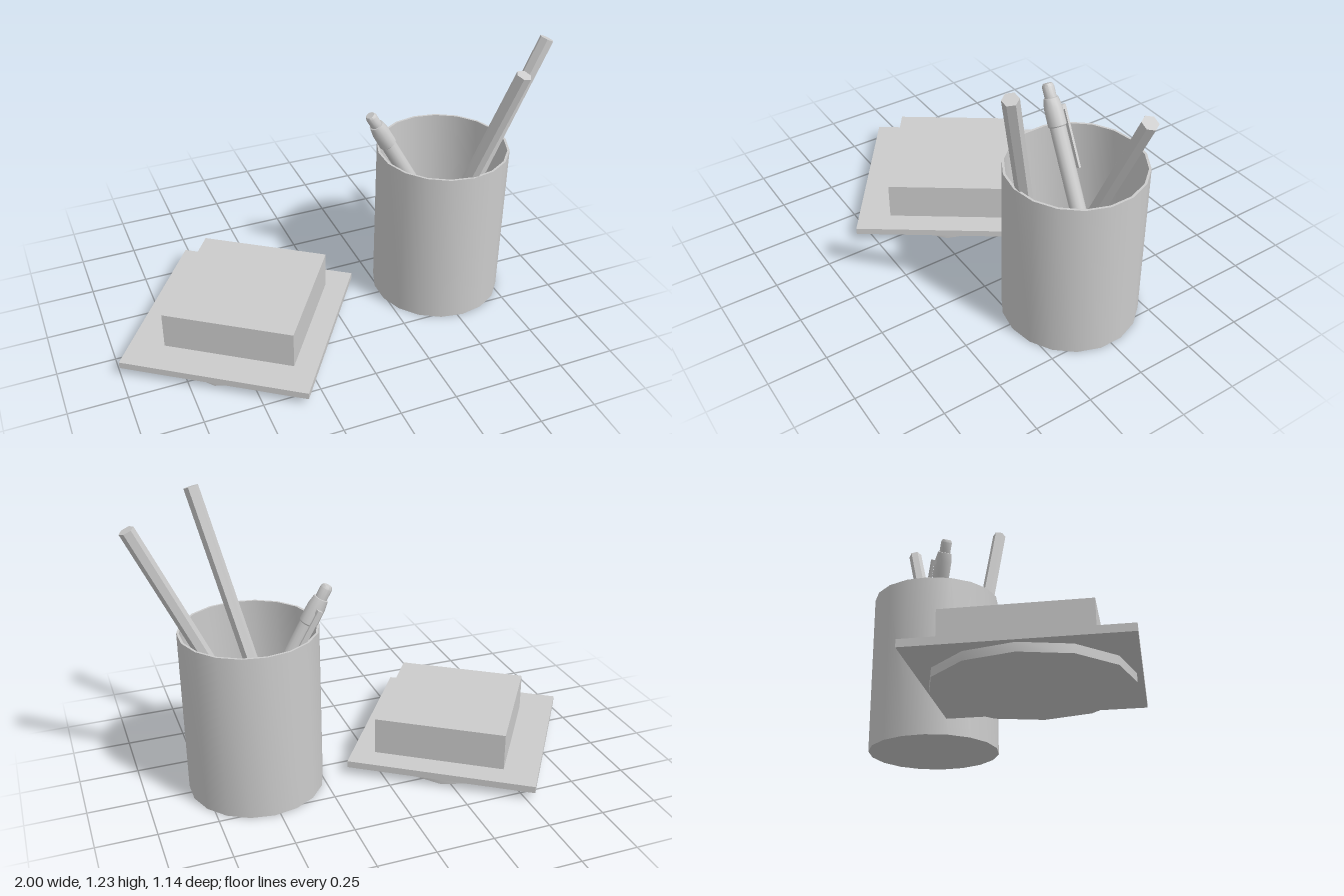
import * as THREE from 'three';
import { toCreasedNormals } from 'three/addons/utils/BufferGeometryUtils.js';

const material = new THREE.MeshStandardMaterial({ color: 0xcccccc, side: THREE.DoubleSide });
const UP = new THREE.Vector3(0, 1, 0);

function add(parent, name, geometry, x = 0, y = 0, z = 0) {
  const mesh = new THREE.Mesh(geometry, material);
  mesh.name = name;
  mesh.position.set(x, y, z);
  parent.add(mesh);
  return mesh;
}

// Lathe from [radius, height] pairs, with sharp edges kept
function turned(points, sides) {
  const profile = points.map(([r, y]) => new THREE.Vector2(r, y));
  return toCreasedNormals(new THREE.LatheGeometry(profile, sides), 0.6);
}

// Group whose local y axis runs from one point to another
function leaning(name, from, to) {
  const group = new THREE.Group();
  const start = new THREE.Vector3(...from);
  const axis = new THREE.Vector3(...to).sub(start);
  group.name = name;
  group.position.copy(start);
  group.userData.length = axis.length();
  group.quaternion.setFromUnitVectors(UP, axis.normalize());
  return group;
}

// Hexagonal pencil with its sharpened tip at the bottom
function pencil(name, from, to) {
  const group = leaning(name, from, to);
  const length = group.userData.length, r = 0.032, tip = 0.09;
  const hex = (top, bottom, h) =>
    toCreasedNormals(new THREE.CylinderGeometry(top, bottom, h, 6, 1, false, Math.PI / 6), 0.3);
  add(group, 'pencilShaft', hex(r, r, length - tip), 0, (length + tip) / 2, 0);
  add(group, 'pencilTip', hex(r, 0.004, tip), 0, tip / 2, 0);
  return group;
}

// Click pen: tapered barrel, collar, button and side clip
function pen(from, to) {
  const group = leaning('pen', from, to);
  const L = group.userData.length;
  add(group, 'penBarrel', turned([
    [0, 0], [0.008, 0.005], [0.018, 0.06], [0.027, 0.15], [0.034, 0.28], [0.034, L - 0.17],
  ], 12));
  add(group, 'penCollar', turned([
    [0.034, L - 0.18], [0.039, L - 0.175], [0.038, L - 0.1], [0.031, L - 0.06], [0, L - 0.055],
  ], 12));
  add(group, 'penButton', turned([
    [0.025, L - 0.06], [0.025, L - 0.012], [0.019, L], [0, L],
  ], 12));
  add(group, 'penClip', new THREE.BoxGeometry(0.022, 0.27, 0.01), 0, L - 0.235, -0.05);
  add(group, 'clipArm', new THREE.BoxGeometry(0.022, 0.02, 0.03), 0, L - 0.11, -0.04);
  return group;
}

export function createModel() {
  const model = new THREE.Group();
  model.name = 'deskSet';

  // Note holder: round foot, square tray and paper block, all turned together
  const holder = new THREE.Group();
  holder.name = 'noteHolder';
  holder.position.set(-0.43, 0, 0);
  holder.rotation.y = -THREE.MathUtils.degToRad(35);
  add(holder, 'foot', turned([[0, 0], [0.387, 0], [0.387, 0.036], [0, 0.036]], 12));
  add(holder, 'tray', new THREE.BoxGeometry(0.82, 0.03, 0.82), 0, 0.05, 0);
  add(holder, 'paperBlock', new THREE.BoxGeometry(0.572, 0.167, 0.572), 0.025, 0.148, -0.02);
  model.add(holder);

  // Thin-walled cup with a floor
  add(model, 'cup', turned([
    [0, 0], [0.29, 0], [0.29, 0.727], [0.28, 0.727], [0.28, 0.012], [0, 0.012],
  ], 18), 0.525, 0, 0);

  // Pencils and pen leaning in the cup
  model.add(pencil('sidePencil', [0.43, 0.02, 0.047], [0.965, 1.183, 0.047]));
  model.add(pencil('frontPencil', [0.372, 0.015, 0.06], [0.645, 1.224, 0.388]));
  model.add(pen([0.7, 0.02, -0.052], [0.21, 0.9, -0.083]));

  return model;
}
